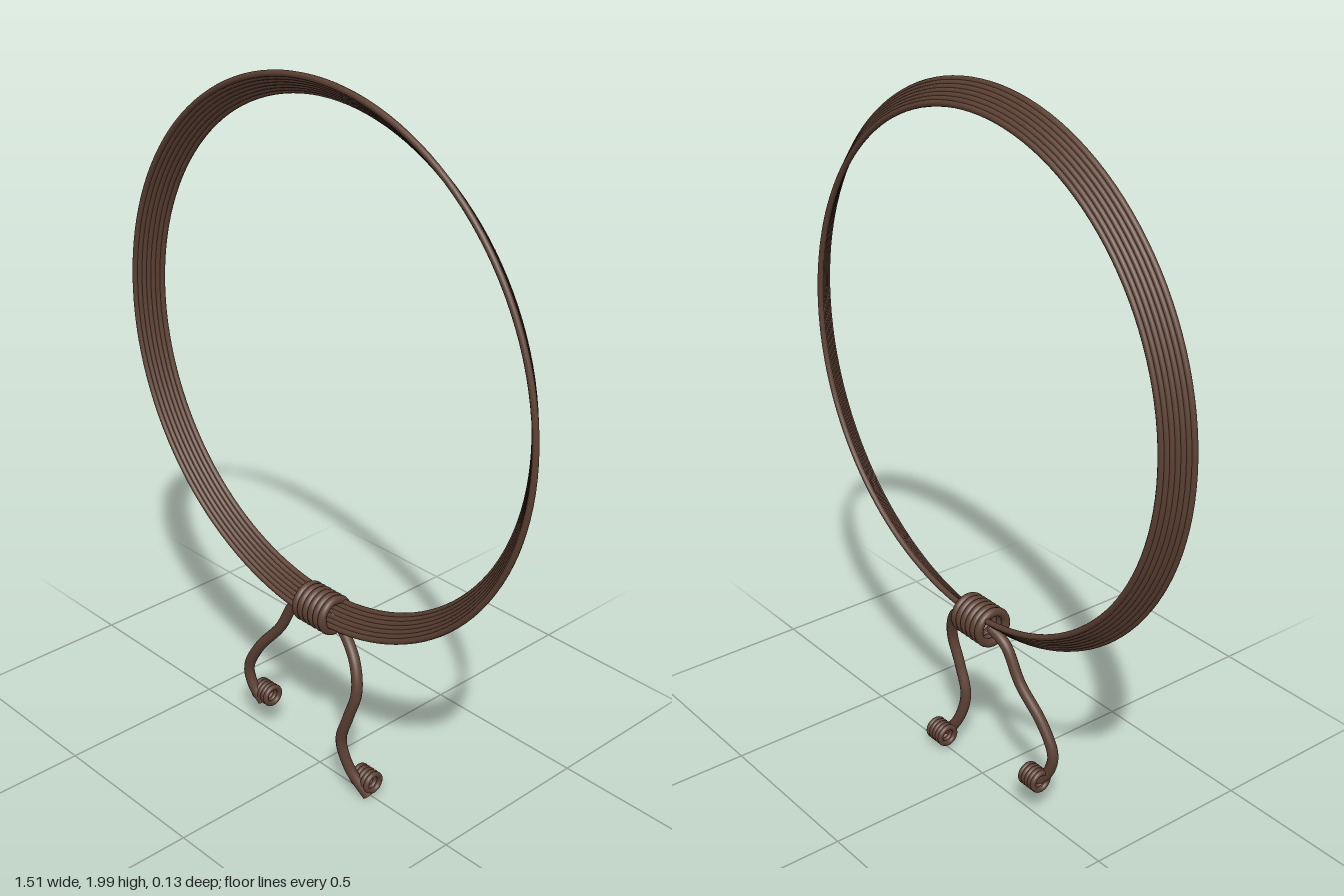
import * as THREE from 'three';

export function createModel() {
  const model = new THREE.Group();
  const cord = new THREE.MeshStandardMaterial({ color: 0x5c4033 });
  cord.name = 'brown cord';

  const add = (parent, name, geometry, x = 0, y = 0, z = 0) => {
    const mesh = new THREE.Mesh(geometry, cord);
    mesh.name = name;
    mesh.position.set(x, y, z);
    parent.add(mesh);
    return mesh;
  };

  const group = (name) => {
    const g = new THREE.Group();
    g.name = name;
    model.add(g);
    return g;
  };

  // Hoop: parallel strands forming a slightly conical band
  const hoop = group('hoop');
  const strands = 7;
  for (let i = 0; i < strands; i++) {
    const t = i / (strands - 1);
    const radius = THREE.MathUtils.lerp(0.745, 0.695, t);
    const z = THREE.MathUtils.lerp(0.022, -0.034, t);
    add(hoop, 'hoopStrand', new THREE.TorusGeometry(radius, 0.0085, 10, 128), 0, 1.247, z);
  }

  // Hollow coil of rings wound around the x axis
  const coil = (name, center, outer, tube, turns, length) => {
    const g = group(name);
    g.position.set(...center);
    const geometry = new THREE.TorusGeometry(outer - tube, tube, 10, 32);
    geometry.rotateY(Math.PI / 2);
    for (let i = 0; i < turns; i++) {
      add(g, 'coilTurn', geometry, (i / (turns - 1) - 0.5) * (length - 2 * tube));
    }
  };
  coil('slidingKnot', [0, 0.521, -0.007], 0.059, 0.0125, 6, 0.128);
  coil('rightEndKnot', [-0.234, 0.129, -0.004], 0.034, 0.008, 5, 0.068);
  coil('leftEndKnot', [0.187, 0.05, -0.004], 0.034, 0.008, 5, 0.07);

  // Loose tails hanging from the knot
  const tail = (name, points) => {
    const curve = new THREE.CatmullRomCurve3(points.map((p) => new THREE.Vector3(...p)));
    const radius = 0.0155;
    add(model, name, new THREE.TubeGeometry(curve, 64, radius, 12));
    // Closed cut ends
    for (const u of [0, 1]) {
      const direction = curve.getTangent(u).multiplyScalar(u ? 1 : -1);
      const cap = add(model, name + 'End', new THREE.CircleGeometry(radius, 12));
      cap.position.copy(curve.getPoint(u));
      cap.quaternion.setFromUnitVectors(new THREE.Vector3(0, 0, 1), direction);
    }
  };
  tail('rightTail', [
    [-0.05, 0.52, -0.01], [-0.105, 0.49, -0.004], [-0.16, 0.39, 0.004], [-0.235, 0.295, 0.02],
    [-0.275, 0.21, 0.026], [-0.262, 0.15, 0.022], [-0.232, 0.105, 0.012],
  ]);
  tail('leftTail', [
    [0.05, 0.52, -0.005], [0.1, 0.497, 0.005], [0.165, 0.44, 0.025], [0.191, 0.36, 0.041],
    [0.167, 0.27, 0.049], [0.139, 0.18, 0.048], [0.16, 0.09, 0.035], [0.212, 0.015, 0.014],
  ]);

  return model;
}
